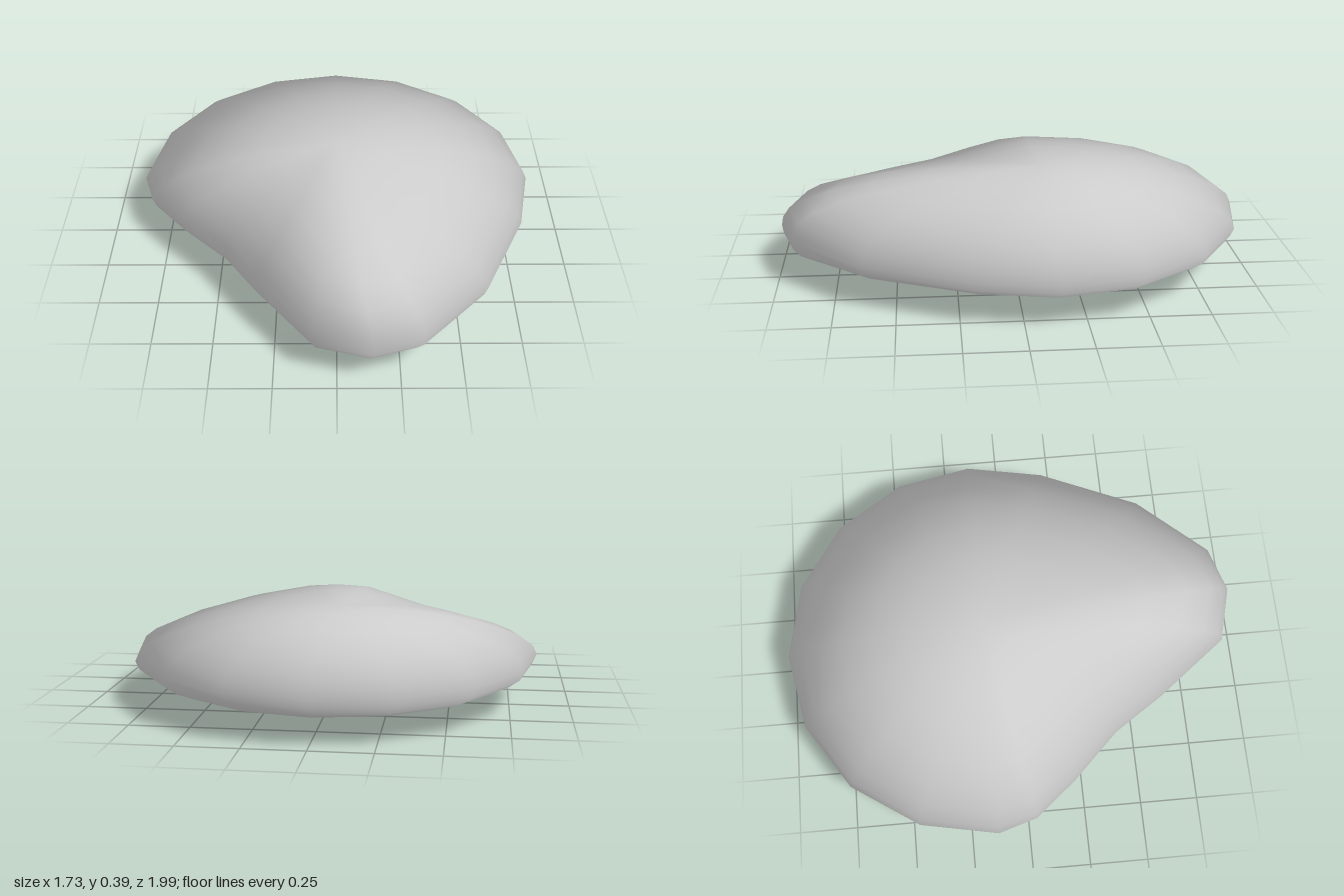
import * as THREE from 'three';
import { mergeVertices } from 'three/addons/utils/BufferGeometryUtils.js';

const RINGS = 16;
const RADIUS = 0.865;
const HALF_HEIGHT = 0.193;
const CENTRE_Z = -0.135;

// Rim of the stone as [x, z], from the right side (-x) round the front to the left and back
const RIM = [
  [-0.865, -0.135], [-0.815, 0.03], [-0.67, 0.206], [-0.47, 0.41], [-0.33, 0.62], [-0.09, 0.93],
  [0.14, 0.99], [0.34, 0.93], [0.61, 0.635], [0.8, 0.205], [0.865, -0.135], [0.8, -0.465],
  [0.61, -0.75], [0.33, -0.935], [0, -1], [-0.33, -0.935], [-0.61, -0.75], [-0.8, -0.465],
];

function createPebbleGeometry() {
  const sphere = new THREE.SphereGeometry(1, RIM.length, RINGS);
  const points = sphere.attributes.position;

  // Draw each column of the sphere out to its rim point, fuller towards the front
  for (let i = 0; i < points.count; i++) {
    const y = points.getY(i);
    const r = Math.sqrt(Math.max(0, 1 - y * y));
    const [rimX, rimZ] = RIM[(i % (RIM.length + 1)) % RIM.length];
    const reach = rimZ - CENTRE_Z;
    const fullness = 1 + 0.65 * Math.max(0, reach) * r * (1 - r);
    points.setXYZ(i, rimX * r, y * RADIUS, CENTRE_Z + reach * r * fullness);
  }

  // Weld the seam and poles so the shading is smooth all round
  sphere.deleteAttribute('uv');
  sphere.deleteAttribute('normal');
  const pebble = mergeVertices(sphere, 1e-4);
  pebble.computeVertexNormals();

  // Flatten the body but keep the rounded shading of the full one
  const flat = pebble.attributes.position;
  for (let i = 0; i < flat.count; i++) {
    flat.setY(i, (flat.getY(i) / RADIUS + 1) * HALF_HEIGHT);
  }
  return pebble;
}

export function createModel() {
  const group = new THREE.Group();
  group.name = 'flatStone';
  const stone = new THREE.Mesh(
    createPebbleGeometry(),
    new THREE.MeshStandardMaterial({ color: 0xcccccc }),
  );
  stone.name = 'stone';
  group.add(stone);
  return group;
}
